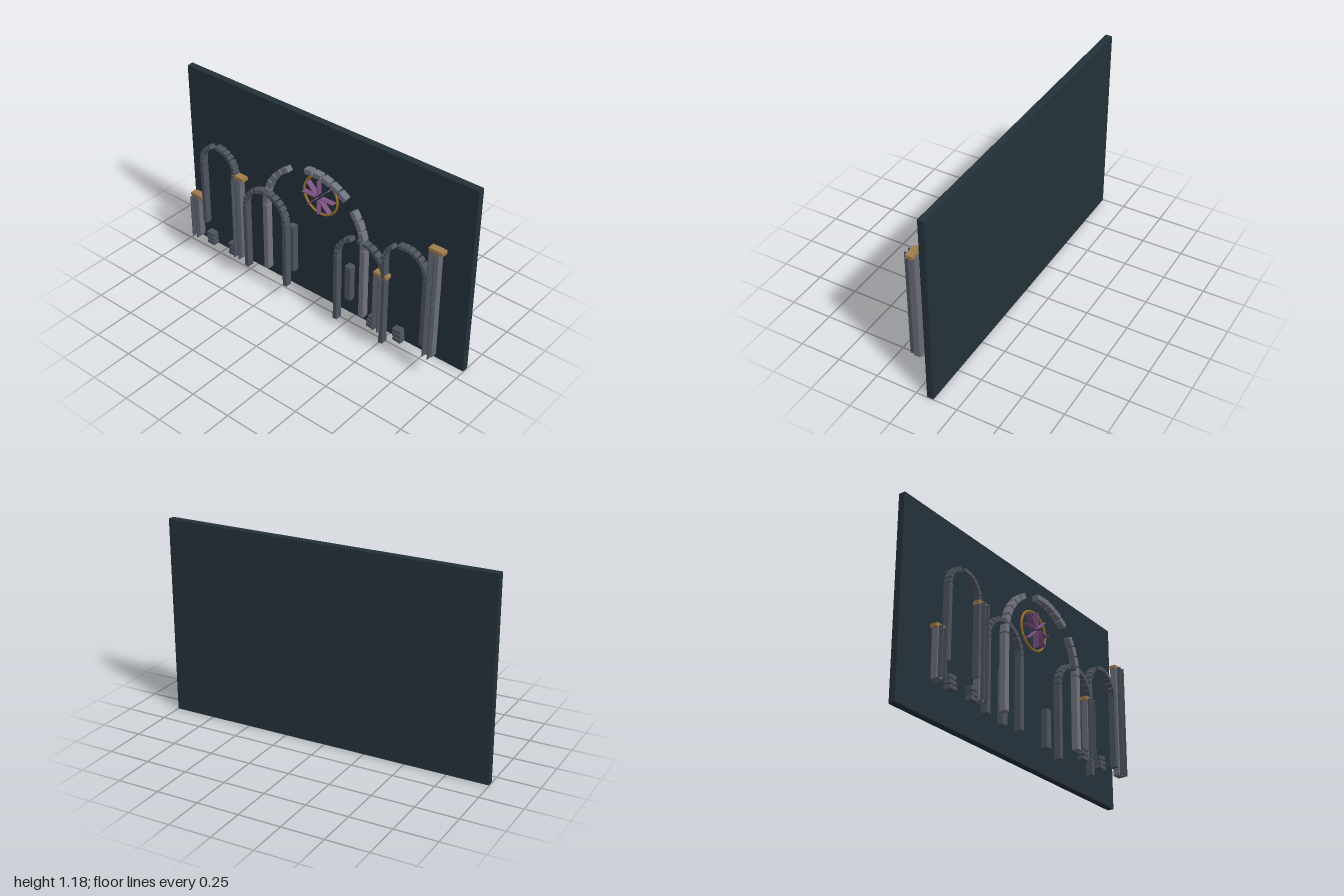
import * as THREE from 'three';
import { RoundedBoxGeometry } from 'three/addons/geometries/RoundedBoxGeometry.js';

const mat = (name, color) => {
  const m = new THREE.MeshStandardMaterial({ color });
  m.name = name;
  return m;
};

export function createModel() {
  const root = new THREE.Group();
  root.name = 'ruinedArcade';
  const wallMat = mat('dark slate', 0x24313a);
  const paleStone = mat('pale stone', 0x70737f);
  const columnStone = mat('column stone', 0x6a6d7a);
  const darkStone = mat('dark stone', 0x4d535f);
  const capMat = mat('tan capital', 0xa07e4c);
  const goldMat = mat('gold', 0x9c742c);
  const purpleMat = mat('purple glass', 0x7c5282);

  const Z = 0.062, DEPTH = 0.043; // plane and thickness shared by the stonework

  let seed = 7;
  const jitter = (amount) => {
    seed = (seed * 16807) % 2147483647;
    return (seed / 2147483647 - 0.5) * 2 * amount;
  };

  // Softly bevelled block
  function block(parent, name, material, w, h, d, x, y, z, turn = 0) {
    const r = Math.min(w, h, d) * 0.12;
    const mesh = new THREE.Mesh(new RoundedBoxGeometry(w, h, d, 1, r), material);
    mesh.name = name;
    mesh.position.set(x, y, z);
    mesh.rotation.z = turn;
    parent.add(mesh);
    return mesh;
  }

  function group(name) {
    const g = new THREE.Group();
    g.name = name;
    root.add(g);
    return g;
  }

  // Two piers carrying a half ring of separate stones, some fallen out
  function arch({ name, x, spring, r, foot, count, missing, width, material }) {
    const g = group(name);
    for (const side of [-1, 1]) {
      block(g, 'pier', material, width, spring - foot, DEPTH, x + side * r, (spring + foot) / 2, Z);
    }
    const step = Math.PI / count;
    for (let i = 0; i < count; i++) {
      if (missing.includes(i)) continue;
      const a = (i + 0.5) * step;
      block(g, 'archStone', material, width * 0.95, r * step * 0.9, DEPTH,
        x + r * Math.cos(a), spring + r * Math.sin(a), Z, a + jitter(0.06));
    }
  }

  // Back wall
  block(root, 'backWall', wallMat, 2, 1.185, 0.043, 0, 0.5925, -0.086);

  // Great arch and the four lesser arches
  arch({ name: 'greatArch', x: 0.055, spring: 0.61, r: 0.347, foot: 0.16, count: 18,
    missing: [4, 10, 11], width: 0.036, material: paleStone });
  const small = [
    ['outerRightArch', -0.655, 0.70, 0.125, 0.26, [7], 0.026],
    ['innerRightArch', -0.302, 0.53, 0.148, 0.095, [], 0.03],
    ['innerLeftArch', 0.381, 0.497, 0.162, 0.05, [7], 0.028],
    ['outerLeftArch', 0.675, 0.622, 0.135, 0.18, [8], 0.026],
  ];
  for (const [name, x, spring, r, foot, missing, width] of small) {
    arch({ name, x, spring, r, foot, count: 13, missing, width, material: darkStone });
  }

  // Fluted columns: shaft, two thin front fins and a worn capital
  for (const [x, top, width] of [[-0.848, 0.42, 0.05], [-0.507, 0.69, 0.055], [0.517, 0.505, 0.05], [0.858, 0.83, 0.06]]) {
    const g = group('column');
    block(g, 'shaft', columnStone, width, top - 0.138, DEPTH, x, (top + 0.138) / 2, Z);
    for (const side of [-1, 1]) {
      block(g, 'fin', darkStone, 0.005, top - 0.138, 0.03, x + side * 0.0175, (top + 0.138) / 2, 0.094);
      block(g, 'capital', capMat, 0.042, 0.024, DEPTH, x + 0.007 + side * 0.024, top + 0.003, Z, jitter(0.1));
    }
    block(g, 'capitalMiddle', capMat, 0.05, 0.018, DEPTH, x + 0.007, top + 0.007, Z);
  }

  // Free-standing pillars behind the arches
  block(root, 'rearPillar', darkStone, 0.043, 0.32, 0.043, -0.182, 0.298, -0.029);
  block(root, 'rearPillar', darkStone, 0.043, 0.235, 0.043, 0.235, 0.255, -0.029);

  // Piles of fallen stones
  for (const x of [-0.745, -0.565, 0.475, 0.65]) {
    const g = group('rubblePile');
    for (let i = 0; i < 3; i++) {
      block(g, 'rubbleStone', darkStone, 0.055, 0.024, DEPTH,
        x + jitter(0.006), 0.132 + i * 0.028, Z, jitter(0.16));
    }
  }

  // Rose window: gold ring with eight deep radial vanes
  const rose = group('roseWindow');
  rose.position.set(0.055, 0.782, 0);
  const ring = new THREE.Mesh(new THREE.TorusGeometry(0.117, 0.007, 8, 48), goldMat);
  ring.name = 'goldRing';
  ring.position.z = 0.01;
  rose.add(ring);
  for (let i = 0; i < 8; i++) {
    const a = (i * Math.PI) / 4;
    block(rose, 'vane', purpleMat, 0.09, 0.006, 0.034,
      0.063 * Math.cos(a), 0.063 * Math.sin(a), 0.026, a);
  }
  return root;
}
